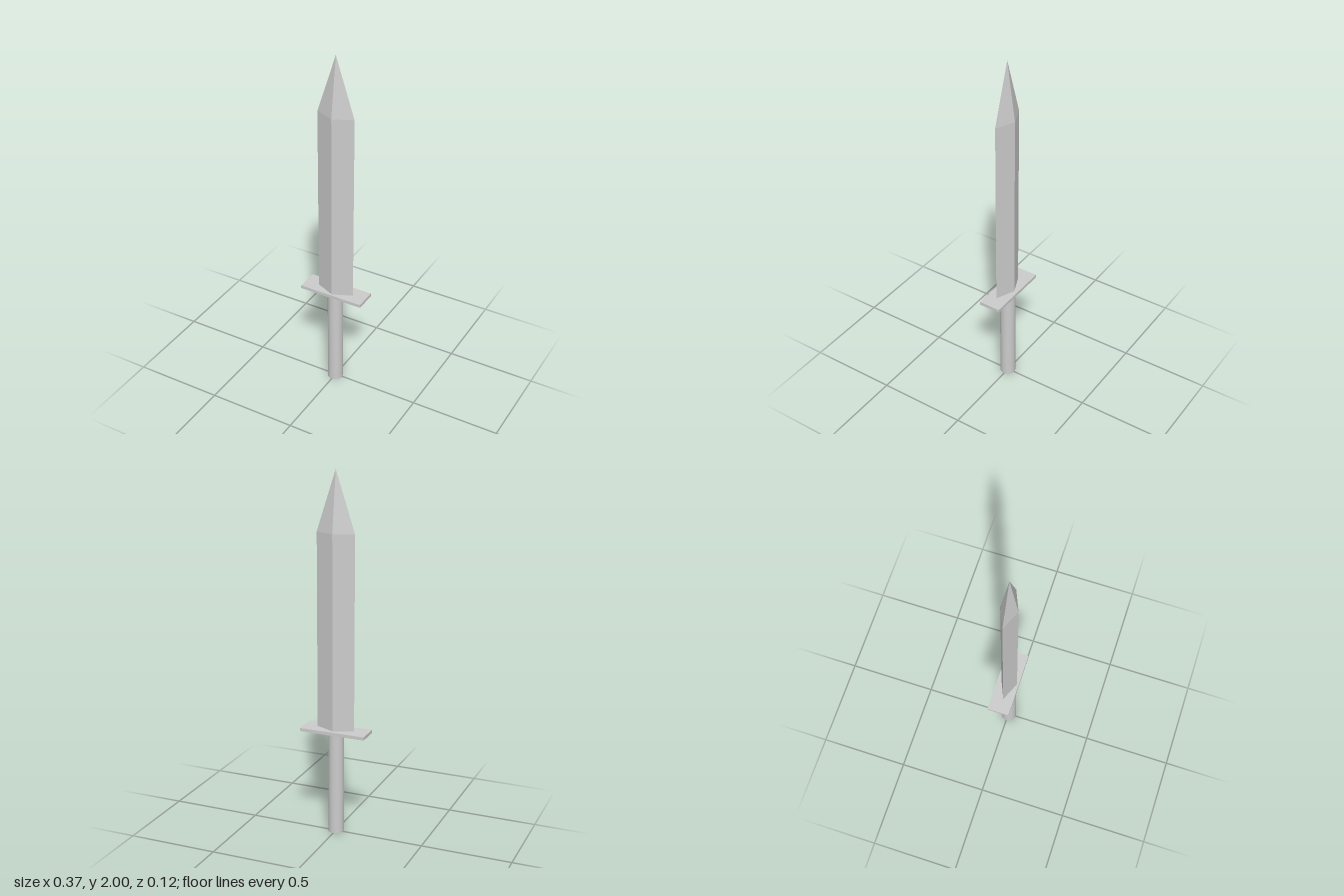
import * as THREE from 'three';

export function createModel() {
  const model = new THREE.Group();
  const smooth = new THREE.MeshStandardMaterial({ color: 0xcccccc });
  const flat = new THREE.MeshStandardMaterial({ color: 0xcccccc, flatShading: true });

  const add = (parent, name, geometry, material, x, y, z) => {
    const mesh = new THREE.Mesh(geometry, material);
    mesh.name = name;
    mesh.position.set(x, y, z);
    parent.add(mesh);
    return mesh;
  };

  // Round grip and flat crossguard
  const guardBottom = 0.582, guardTop = 0.6;
  add(model, 'grip', new THREE.CylinderGeometry(0.043, 0.043, guardBottom, 32), smooth,
    0, guardBottom / 2, 0.003);
  add(model, 'crossguard', new THREE.BoxGeometry(0.37, guardTop - guardBottom, 0.123), flat,
    0, (guardBottom + guardTop) / 2, -0.001);

  // Diamond-section blade: four-sided prism topped by a four-sided point
  const blade = new THREE.Group();
  blade.name = 'blade';
  blade.position.set(0.003, 0, 0.004);
  model.add(blade);
  const halfWidth = 0.107, halfDepth = 0.046, shoulder = 1.672, tip = 2;
  const section = (topRadius, height) =>
    new THREE.CylinderGeometry(topRadius, 1, height, 4, 1, topRadius === 0)
      .scale(halfWidth, 1, halfDepth);
  add(blade, 'bladeBody', section(1, shoulder - guardTop), flat, 0, (shoulder + guardTop) / 2, 0);
  add(blade, 'bladePoint', section(0, tip - shoulder), flat, 0, (tip + shoulder) / 2, 0);

  return model;
}
